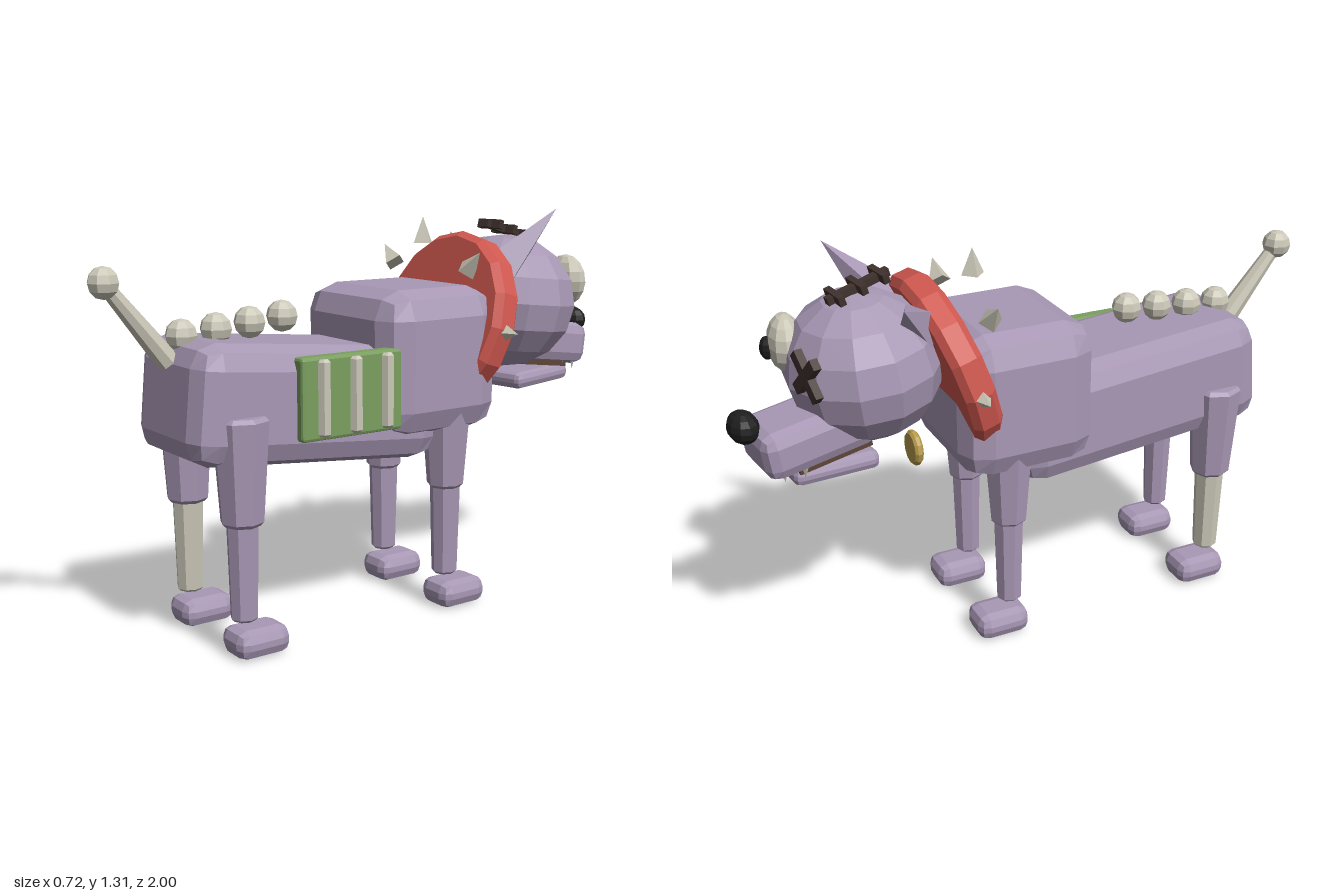
import * as THREE from 'three';
import { RoundedBoxGeometry } from 'three/addons/geometries/RoundedBoxGeometry.js';

const mat = (name, color) => {
  const m = new THREE.MeshStandardMaterial({ color });
  m.name = name;
  return m;
};

export function createModel() {
  const root = new THREE.Group();
  root.name = 'patchworkDog';
  const fur = mat('mauve fur', 0xa898b5);
  const bone = mat('bone', 0xcbc8b8);
  const red = mat('collar red', 0xd0584f);
  const green = mat('patch green', 0x7a9f5f);
  const black = mat('black', 0x1e1e1e);
  const thread = mat('stitch brown', 0x40322e);
  const gum = mat('mouth brown', 0x5e4538);
  const gold = mat('tag gold', 0xb89c4c);

  // Faceted mesh helper
  function add(name, geometry, material, pos, rot = [0, 0, 0], scale = [1, 1, 1], parent = root) {
    const g = geometry.index ? geometry.toNonIndexed() : geometry;
    g.computeVertexNormals();
    const m = new THREE.Mesh(g, material);
    m.name = name;
    m.position.set(...pos);
    m.rotation.set(...rot, 'YXZ');
    m.scale.set(...scale);
    parent.add(m);
    return m;
  }
  const rbox = (w, h, d, r) => new RoundedBoxGeometry(w, h, d, 1, r);
  const ball = (r, w = 8, h = 6) => new THREE.SphereGeometry(r, w, h);
  // Tapered cylinder with chamfered rims
  const post = (rt, rb, h, b, n) => new THREE.LatheGeometry([
    [0, -h / 2], [rb - b, -h / 2], [rb, -h / 2 + b],
    [rt, h / 2 - b], [rt - b, h / 2], [0, h / 2],
  ].map(([x, y]) => new THREE.Vector2(x, y)), n);
  // Shape running from one point to another along its own y axis
  function between(name, makeGeo, material, from, to) {
    const a = new THREE.Vector3(...from), b = new THREE.Vector3(...to);
    const dir = b.clone().sub(a);
    const m = add(name, makeGeo(dir.length()), material, a.clone().add(b).multiplyScalar(0.5).toArray());
    m.quaternion.setFromUnitVectors(new THREE.Vector3(0, 1, 0), dir.normalize());
    return m;
  }

  // Body
  add('chest', rbox(0.52, 0.47, 0.455, 0.09), fur, [0, 0.835, -0.093]);
  add('hindBody', rbox(0.43, 0.365, 0.89, 0.075), fur, [0, 0.738, 0.33], [-0.095, 0, 0]);

  // Legs: the hind leg on the -x side has a bare bone shin
  for (const side of [-1, 1]) {
    for (const [label, z, top, rt, rb] of [['hind', 0.62, 0.74, 0.088, 0.067], ['front', -0.15, 0.69, 0.08, 0.06]]) {
      const x = side * 0.172;
      const bare = label === 'hind' && side < 0;
      add(label + 'Thigh', post(rt, rb, top - 0.41, 0.012, 8), fur, [x, (top + 0.41) / 2, z]);
      add(label + 'Shin', post(0.05, 0.042, 0.32, 0.008, 8), bare ? bone : fur, [x, 0.275, z]);
      add(label + 'Paw', rbox(0.14, 0.09, 0.18, 0.035), fur, [x, 0.047, z - 0.04]);
    }
  }

  // Exposed spine and tail
  for (let i = 0; i < 4; i++) {
    add('vertebra', ball(0.05), bone, [0, 0.997 - i * 0.011, 0.366 + i * 0.116]);
  }
  between('tail', (h) => new THREE.CylinderGeometry(0.022, 0.037, h, 8), bone, [0, 0.89, 0.76], [0, 1.13, 0.953]);
  add('tailTip', ball(0.048), bone, [0, 1.132, 0.953]);

  // Flank patch with ribs
  add('flankPatch', rbox(0.05, 0.255, 0.37, 0.01), green, [0.219, 0.773, 0.265]);
  for (const z of [0.373, 0.257, 0.14]) {
    add('rib', post(0.022, 0.022, 0.235, 0.008, 6), bone, [0.243, 0.775, z]);
  }

  // Collar, spikes and tag
  add('collar', post(0.308, 0.308, 0.1, 0.022, 16).rotateX(Math.PI / 2), red, [0, 0.93, -0.29], [-0.31, 0, 0]);
  for (let i = -2; i <= 2; i++) {
    const a = i * Math.PI / 4;
    const z = -0.29 + 0.105 * Math.cos(a);
    add('collarSpike', new THREE.ConeGeometry(0.038, 0.085, 4), bone,
      [Math.sin(a) * 0.318, 0.925 + Math.cos(a) * 0.318, z], [0, 0, -a]);
  }
  add('tag', post(0.058, 0.058, 0.028, 0.008, 12).rotateX(Math.PI / 2), gold, [0, 0.65, -0.4]);

  // Head and jaws, turned a little to one side
  const YAW = 0.13;
  add('skull', ball(0.25, 12, 8), fur, [-0.02, 0.982, -0.56], [-0.1, YAW, 0], [1.03, 0.93, 0.97]);
  add('snout', rbox(0.225, 0.15, 0.36, 0.04), fur, [-0.064, 0.822, -0.755], [-0.14, YAW, 0]);
  add('nose', ball(0.05, 10, 8), black, [-0.083, 0.88, -0.952], [0, YAW, 0], [1.3, 1, 0.92]);
  add('mouth', new THREE.BoxGeometry(0.18, 0.04, 0.24), gum, [-0.055, 0.762, -0.71], [-0.14, YAW, 0]);
  add('lowerJaw', rbox(0.18, 0.058, 0.28, 0.022), fur, [-0.05, 0.703, -0.7], [0.04, YAW, 0]);

  // Teeth along the front and sides of the upper jaw
  for (const [u, z] of [[-0.08, -0.87], [-0.03, -0.885], [0.03, -0.885], [0.08, -0.87], [-0.085, -0.81], [0.085, -0.81]]) {
    add('tooth', new THREE.ConeGeometry(0.014, 0.05, 4), bone, [-0.072 + u, 0.735, z + u * -YAW], [Math.PI, 0, 0]);
  }

  // Ears: one upright, one drooping outward
  const ear = (h) => new THREE.ConeGeometry(0.08, h, 4);
  between('uprightEar', ear, fur, [0.115, 1.1, -0.42], [0.198, 1.308, -0.598]);
  between('droopingEar', ear, fur, [-0.115, 1.11, -0.41], [-0.24, 1.213, -0.5]);

  // Bulging eye and stitched-shut eye
  add('bulgingEye', ball(0.095, 10, 8), bone, [0.08, 1.05, -0.765], [0, -0.2, 0], [1, 0.95, 0.58]);
  add('pupil', ball(0.036), black, [0.084, 1.04, -0.82], [0, -0.1, 0], [0.95, 1, 0.65]);
  for (const s of [-1, 1]) {
    add('crossedEyeBar', new THREE.BoxGeometry(0.16, 0.035, 0.025), thread, [-0.17, 1.04, -0.775], [0, 0.21, s * Math.PI / 4]);
  }

  // Stitched scar on the crown
  const scar = new THREE.Group();
  scar.name = 'scar';
  scar.position.set(-0.022, 1.228, -0.562);
  scar.rotation.set(-0.27, YAW, 0, 'YXZ');
  root.add(scar);
  add('scarLine', new THREE.BoxGeometry(0.026, 0.025, 0.21), thread, [0, 0, 0], [0, 0, 0], [1, 1, 1], scar);
  for (const z of [-0.075, 0, 0.075]) {
    add('scarStitch', new THREE.BoxGeometry(0.1, 0.03, 0.02), thread, [0, 0.003, z], [0, 0, 0], [1, 1, 1], scar);
  }
  return root;
}
